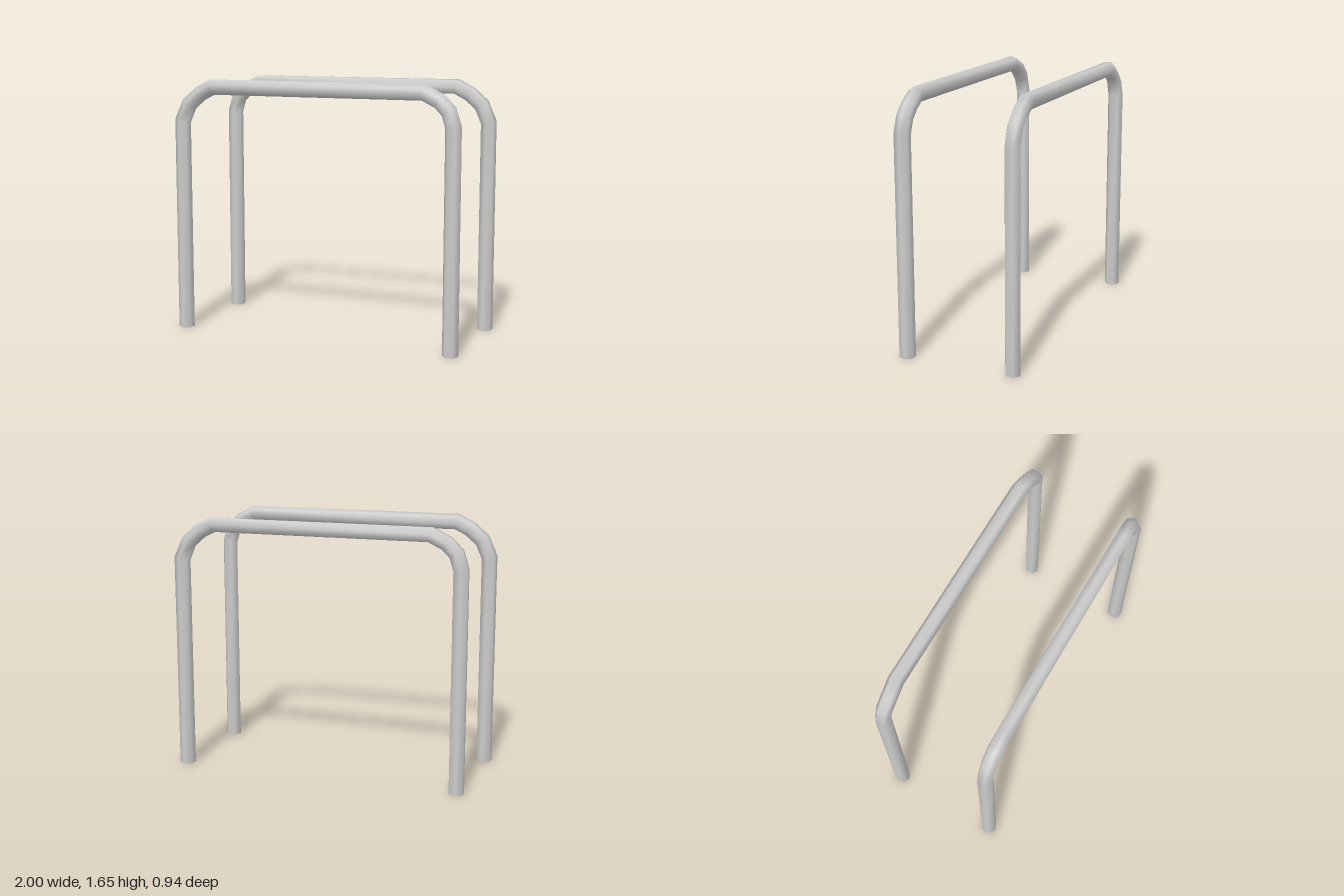
import * as THREE from 'three';

const SIDES = 6;
const RADIUS = 0.051;

// Centre line of one bent rail: leg, elbow, top bar, elbow, leg
const PATH = [
  [-0.952, 0, 0.285], [-0.952, 1.375, 0.285], [-0.905, 1.485, 0.285], [-0.825, 1.555, 0.287], [-0.735, 1.6, 0.297],
  [0.7, 1.6, 0.41], [0.8, 1.55, 0.41], [0.86, 1.49, 0.415], [0.89, 1.395, 0.42], [0.89, 0, 0.42],
].map((p) => new THREE.Vector3(...p));

// Sweeps a six-sided ring along the path, turning it from one angle to another
function tubeGeometry(path, startTurn, endTurn) {
  const positions = [];
  const index = [];
  const last = path.length - 1;
  const direction = (i) => path[i + 1].clone().sub(path[i]).normalize();
  path.forEach((p, i) => {
    const before = direction(Math.max(i - 1, 0));
    const after = direction(Math.min(i, last - 1));
    const t = before.clone().add(after).normalize();
    const mitre = 1 / t.dot(after);
    const side = new THREE.Vector3(0, 0, 1).addScaledVector(t, -t.z).normalize();
    const out = side.clone().cross(t);
    const turn = THREE.MathUtils.lerp(startTurn, endTurn, i / last);
    for (let j = 0; j < SIDES; j++) {
      const a = turn + (j / SIDES) * Math.PI * 2;
      const v = p.clone()
        .addScaledVector(out, Math.cos(a) * RADIUS * mitre)
        .addScaledVector(side, Math.sin(a) * RADIUS);
      positions.push(v.x, v.y, v.z);
      if (i < last) {
        const k = i * SIDES + j;
        const n = i * SIDES + ((j + 1) % SIDES);
        index.push(k, n, n + SIDES, k, n + SIDES, k + SIDES);
      }
    }
  });
  const geometry = new THREE.BufferGeometry();
  geometry.setAttribute('position', new THREE.Float32BufferAttribute(positions, 3));
  geometry.setIndex(index);
  geometry.computeVertexNormals();
  return geometry;
}

export function createModel() {
  const group = new THREE.Group();
  group.name = 'parallelBars';

  // Open tube ends show the inside
  const metal = new THREE.MeshStandardMaterial({ color: 0xcccccc, side: THREE.DoubleSide });
  metal.name = 'light grey metal';

  const frontRail = new THREE.Mesh(tubeGeometry(PATH, 0.35, 0), metal);
  frontRail.name = 'frontRail';

  // The back rail is the same shape turned half a circle
  const backRail = new THREE.Mesh(tubeGeometry(PATH, 0.35, Math.PI / 6), metal);
  backRail.name = 'backRail';
  backRail.rotation.y = Math.PI;

  group.add(frontRail, backRail);
  return group;
}
